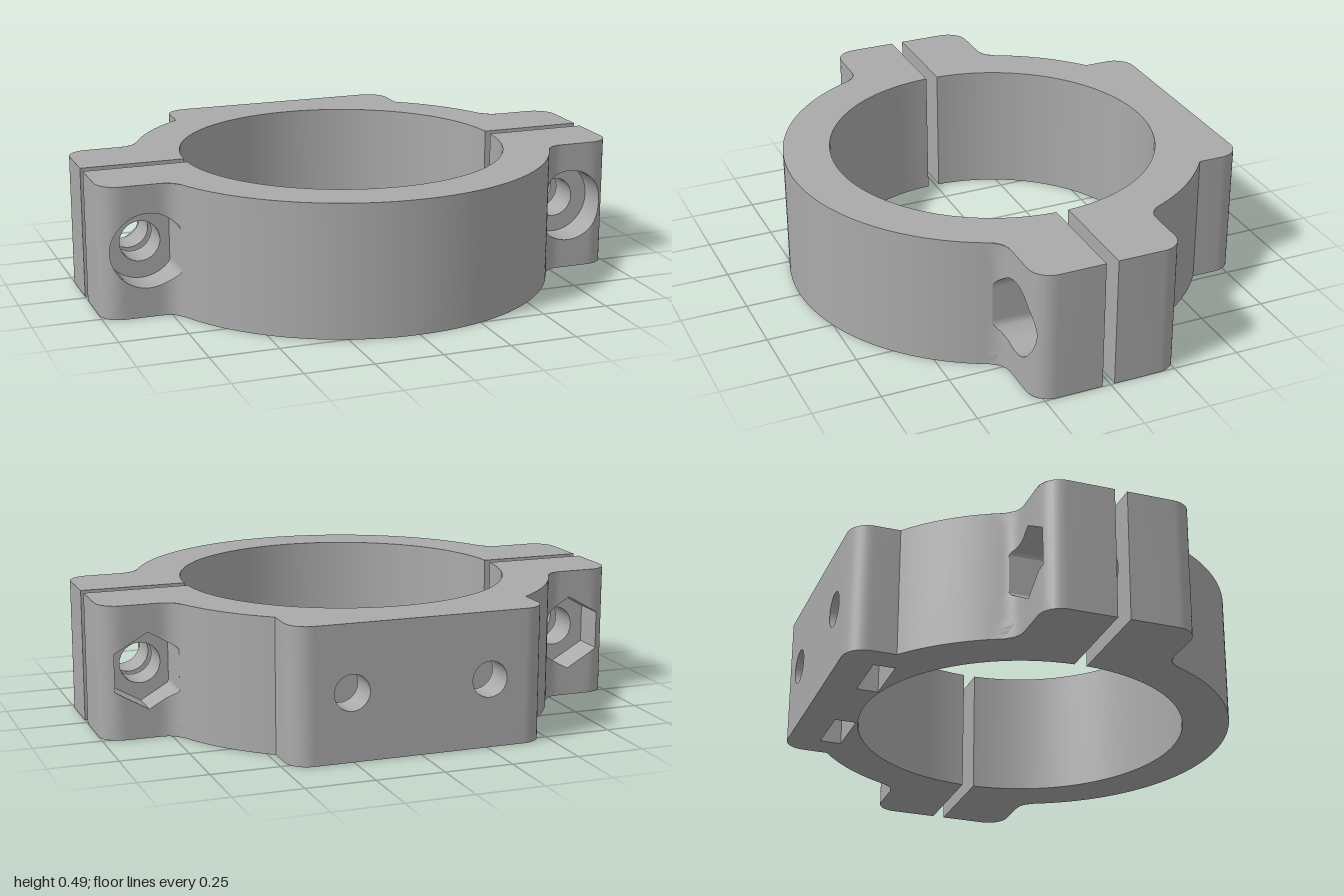
import * as THREE from 'three';
import { mergeGeometries, toCreasedNormals } from 'three/addons/utils/BufferGeometryUtils.js';

const H = 0.49, MID = 0.247;          // height, bolt height
const BASE = 0.023, FACE = 0.277;     // ear: split face and outer face
const RO = 0.785, RI = 0.611;         // ring radii
const BOLT_X = 0.83, SEAT_Z = 0.15;   // ear bolt and its recessed seat
const BLOCK_X = 0.473, BLOCK_Z = 0.802, ROUND = 0.08;
const EAR = [0.69, 0.98];             // x range of the drilled ear panel

const arc = (cx, cz, r, a0, a1, n) => Array.from({ length: n + 1 }, (_, i) => {
  const a = a0 + (a1 - a0) * i / n;
  return [cx + r * Math.cos(a), cz + r * Math.sin(a)];
});

// Surface through rows of 3D points
function grid(rows) {
  const n = rows[0].length, index = [];
  for (let i = 0; i < rows.length - 1; i++) {
    for (let j = 0; j < n - 1; j++) {
      const a = i * n + j, d = a + n;
      index.push(a, a + 1, d + 1, a, d + 1, d);
    }
  }
  const g = new THREE.BufferGeometry();
  g.setAttribute('position', new THREE.Float32BufferAttribute(rows.flat(2), 3));
  return g.setIndex(index);
}

function flip(g) {
  const a = g.index.array;
  for (let i = 0; i < a.length; i += 3) [a[i], a[i + 1]] = [a[i + 1], a[i]];
  return g;
}

// Upright wall over a plan path, solid on the path's left
const wall = (path, top = H) => grid([top, 0].map(y => path.map(([x, z]) => [x, y, z])));

// Hole outlines as radius by angle
const circle = r => () => r;
const clipped = (fn, d) => t => Math.cos(t) < 0 ? Math.min(fn(t), -d / Math.cos(t)) : fn(t);
const hex = apothem => t => {
  const s = Math.PI / 3;
  return apothem / Math.cos(((t + s / 2 + 6 * s) % s) - s / 2);
};
const ANGLES = Array.from({ length: 73 }, (_, i) => i * Math.PI / 36);

// Surface between an outer and an inner outline around (cx, MID); z follows zFn(x)
function ring(cx, outer, inner, zFn, angles = ANGLES, steps = 1) {
  return grid(Array.from({ length: steps + 1 }, (_, i) => angles.map(t => {
    const r = outer(t) + (inner(t) - outer(t)) * i / steps;
    const x = cx + r * Math.cos(t);
    return [x, MID + r * Math.sin(t), zFn(x)];
  })));
}

// Rectangular panel with a hole
function panel(cx, x0, x1, top, hole, zFn, steps = 1) {
  const edge = t => {
    const c = Math.cos(t), s = Math.sin(t);
    return Math.min(c > 0 ? (x1 - cx) / c : (x0 - cx) / Math.min(c, -1e-9),
      s > 0 ? (top - MID) / Math.max(s, 1e-9) : -MID / Math.min(s, -1e-9));
  };
  const corners = [[x0, 0], [x1, 0], [x0, top], [x1, top]].map(([x, y]) =>
    (Math.atan2(y - MID, x - cx) + 2 * Math.PI) % (2 * Math.PI));
  return ring(cx, edge, hole, zFn, [...ANGLES, ...corners].sort((a, b) => a - b), steps);
}

// Hole lining from the outer surface inwards
const lining = (cx, hole, zOut, zIn) => grid([zOut, zIn].map(zFn => ANGLES.map(t => {
  const x = cx + hole(t) * Math.cos(t);
  return [x, MID + hole(t) * Math.sin(t), zFn(x)];
})));

const flat = z => () => z;

// One half of the clamp, facing +z
function halfClamp(recess, withBlock) {
  // Plan outline of the x > 0 side: ear, fillet, ring, optional block
  const rf = 0.08, cz = FACE + rf, cx = Math.sqrt((RO + rf) ** 2 - cz ** 2);
  const a0 = Math.atan2(cz, cx);
  const a1 = withBlock ? Math.acos(BLOCK_X / RO) : Math.PI / 2;
  const outline = [
    [1, BASE],
    ...arc(1 - ROUND, FACE - ROUND, ROUND, 0, Math.PI / 2, 12),
    ...arc(cx, cz, rf, -Math.PI / 2, a0 - Math.PI, 10),
    ...arc(0, 0, RO, a0, a1, withBlock ? 24 : 40).slice(1),
  ];
  if (withBlock) {
    outline.push(...arc(BLOCK_X - ROUND, BLOCK_Z - ROUND, ROUND, 0, Math.PI / 2, 10), [0, BLOCK_Z]);
  }
  const inside = arc(0, 0, RI, Math.PI / 2, Math.asin(BASE / RI), 48);

  const surfaceZ = x => {
    const i = outline.findIndex((p, k) => k > 0 && p[0] <= x && p[0] < outline[k - 1][0]);
    const [p, q] = [outline[i - 1], outline[i]];
    return p[1] + (q[1] - p[1]) * (x - p[0]) / (q[0] - p[0]);
  };
  const cut = EAR.map(x => [x, surfaceZ(x)]);
  const blockEnd = withBlock ? BLOCK_X - ROUND - 1e-6 : -1;

  const bore = circle(0.075);
  const parts = [
    // Outer and inner walls
    wall([...outline.filter(p => p[0] > EAR[1]), cut[1]]),
    wall([cut[0], ...outline.filter(p => p[0] < EAR[0] && p[0] >= blockEnd)]),
    wall(inside),
    // Drilled ear with recessed seat
    panel(BOLT_X, EAR[0], EAR[1], H, recess, surfaceZ, 8),
    lining(BOLT_X, recess, surfaceZ, flat(SEAT_Z)),
    ring(BOLT_X, recess, bore, flat(SEAT_Z)),
    lining(BOLT_X, bore, flat(SEAT_Z), flat(BASE)),
    flip(panel(BOLT_X, inside.at(-1)[0], 1, H, bore, flat(BASE))),
  ];

  // Top and bottom faces
  const points = [...outline, ...inside].map(p => new THREE.Vector2(...p));
  const cap = pocket => {
    const shape = new THREE.Shape(points);
    if (pocket) shape.holes.push(new THREE.Path(pocket.map(p => new THREE.Vector2(...p))));
    const g = new THREE.ShapeGeometry(shape).rotateX(Math.PI / 2);
    g.deleteAttribute('uv');
    g.deleteAttribute('normal');
    return g;
  };
  parts.push(flip(cap()).translate(0, H, 0));

  if (withBlock) {
    // Screw hole in the block, meeting a nut slot open at the bottom
    const sx = 0.256, x0 = 0.148, x1 = 0.364, z0 = 0.6, z1 = 0.68, top = 0.37;
    const slot = [[x1, z1], [x1, z0], [x0, z0], [x0, z1]];
    const screw = circle(0.065);
    parts.push(
      cap(slot),
      panel(sx, 0, BLOCK_X - ROUND, H, screw, flat(BLOCK_Z)),
      lining(sx, screw, flat(BLOCK_Z), flat(z1)),
      wall(slot, top),
      flip(panel(sx, x0, x1, top, screw, flat(z1))),
      grid([[[x0, top, z0], [x1, top, z0]], [[x0, top, z1], [x1, top, z1]]]),
    );
  } else {
    parts.push(cap());
  }

  // Mirror to the other side
  const side = mergeGeometries(parts);
  const mirrored = flip(side.clone().scale(-1, 1, 1));
  return toCreasedNormals(mergeGeometries([side, mirrored]), 0.5);
}

export function createModel() {
  const grey = new THREE.MeshStandardMaterial({ color: 0xaaaaaa, side: THREE.DoubleSide });
  grey.name = 'grey';
  const group = new THREE.Group();
  group.name = 'splitClamp';

  // Front half with round bolt-head recesses
  const front = new THREE.Mesh(halfClamp(clipped(circle(0.138), 0.11), false), grey);
  front.name = 'frontHalf';

  // Back half with hexagonal nut recesses and mounting block
  const back = new THREE.Mesh(halfClamp(clipped(hex(0.122), 0.105), true), grey);
  back.name = 'backHalf';
  back.rotation.y = Math.PI;

  front.position.z = back.position.z = 0.008;
  group.add(front, back);
  return group;
}
